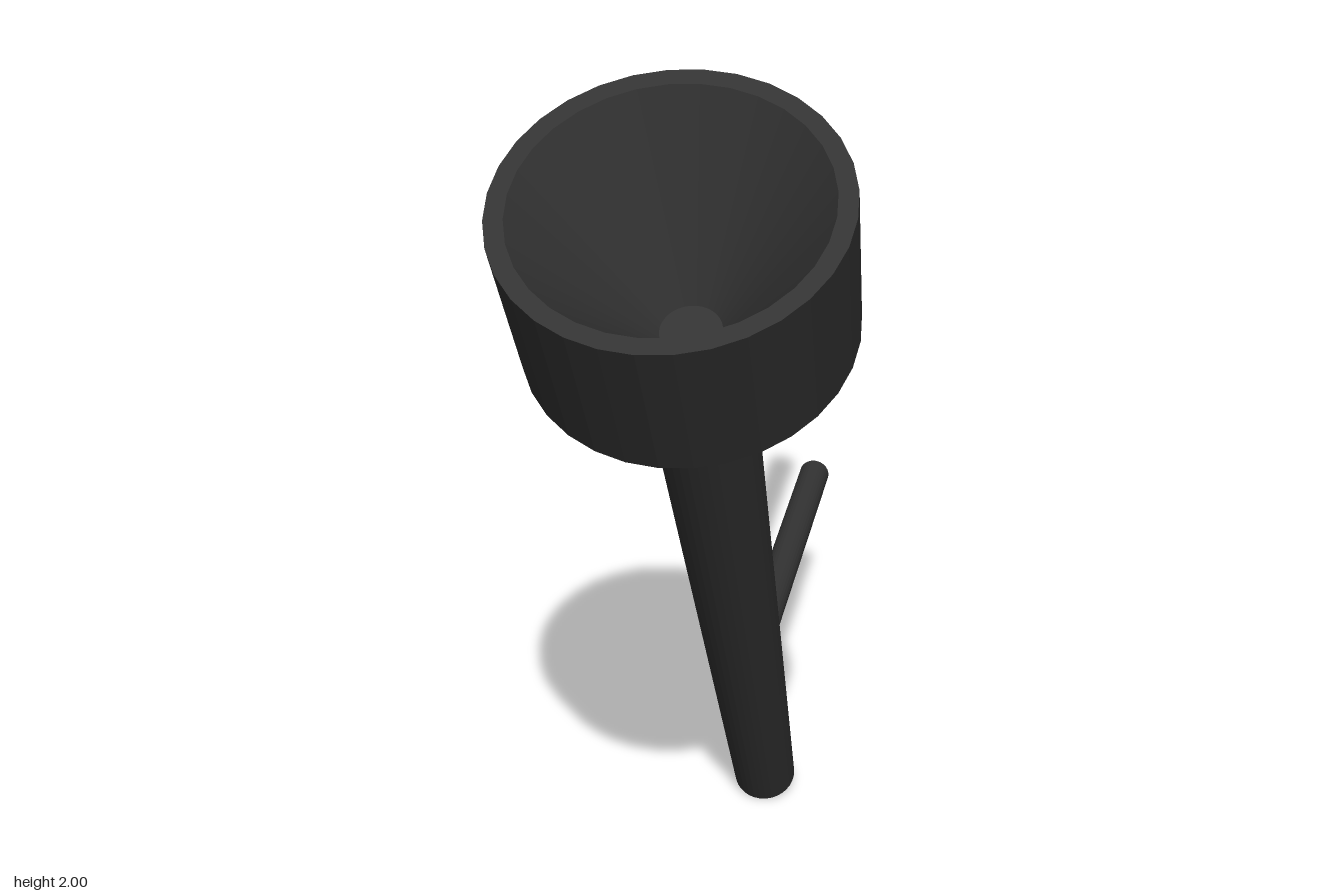
import * as THREE from 'three';

const SIDES = 32;
const TILT = Math.atan2(0.94, 1.818);

export function createModel() {
  const model = new THREE.Group();
  const material = new THREE.MeshStandardMaterial({ color: 0x333333, flatShading: true });

  const add = (parent, name, geometry) => {
    const mesh = new THREE.Mesh(geometry, material);
    mesh.name = name;
    parent.add(mesh);
    return mesh;
  };

  // Leaning holder: its local y runs along the stem, leaning forward
  const holder = new THREE.Group();
  holder.name = 'holder';
  holder.position.set(0, 0.035, -0.252);
  holder.rotation.x = TILT;
  model.add(holder);

  // Tapered stem
  const stemLength = 1.66;
  add(holder, 'stem', new THREE.CylinderGeometry(0.105, 0.071, stemLength, SIDES))
    .position.y = stemLength / 2;

  // Cup: conical underside, flared wall, flat rim and funnel-shaped hollow
  const profile = [
    [0, 1.632], [0.104, 1.632], [0.308, 1.718], [0.318, 2.047],
    [0.283, 2.047], [0.058, 1.71], [0, 1.71],
  ].map(([r, y]) => new THREE.Vector2(r, y));
  add(holder, 'cup', new THREE.LatheGeometry(profile, SIDES));

  // Horizontal mounting rods, from the stem's axis to the back
  const back = -0.97;
  for (const [name, y] of [['lowerRod', 0.475], ['upperRod', 1.15]]) {
    const front = -0.252 + (y - 0.035) * Math.tan(TILT);
    const rod = add(model, name, new THREE.CylinderGeometry(0.037, 0.037, front - back, SIDES));
    rod.rotation.x = Math.PI / 2;
    rod.position.set(0, y, (front + back) / 2);
  }

  return model;
}
